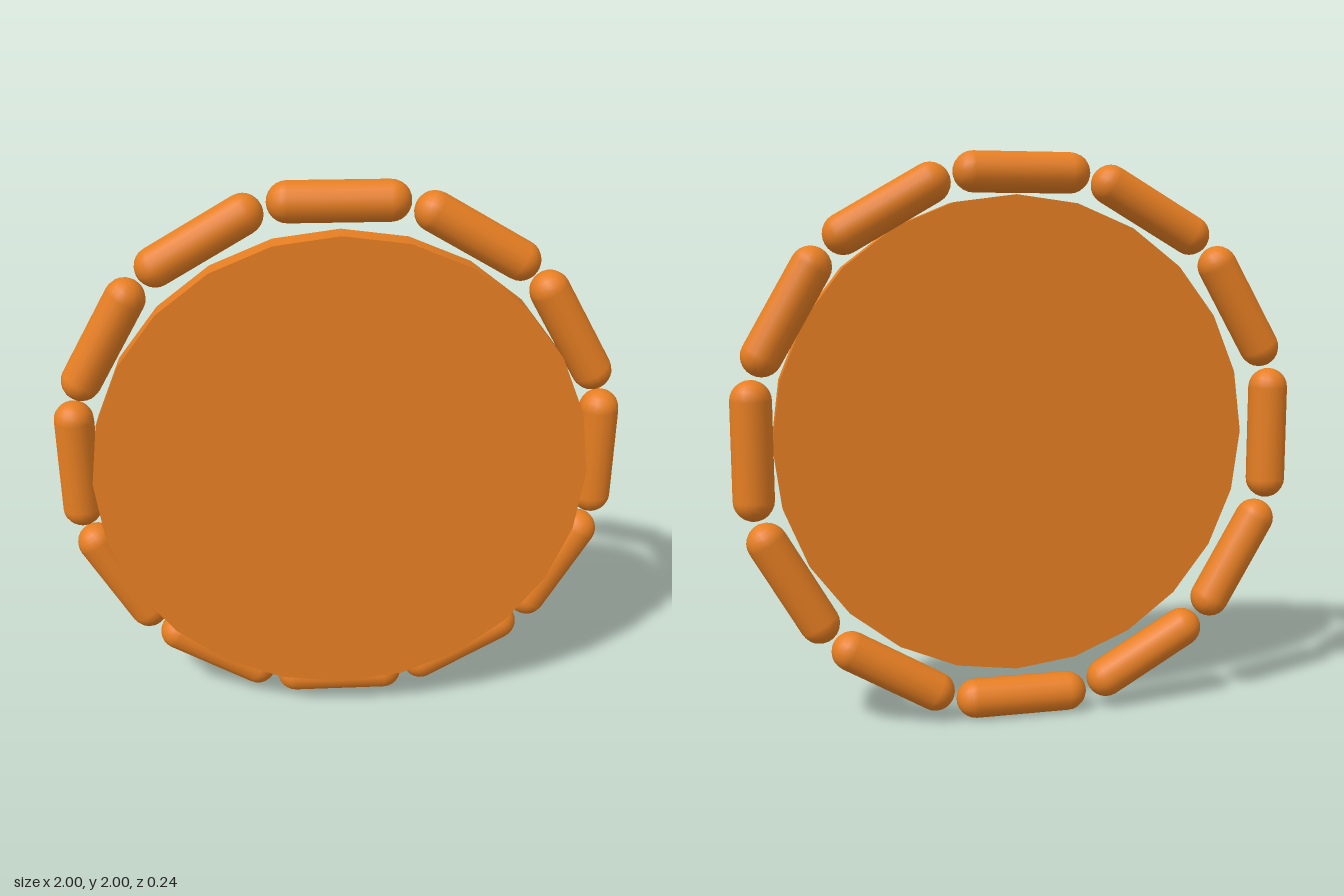
import * as THREE from 'three';

export function createModel() {
  const model = new THREE.Group();
  const material = new THREE.MeshStandardMaterial({ color: 0xe67e22 });

  // Flat round plate at the front, 24 sided
  const plateGeometry = new THREE.CylinderGeometry(0.86, 0.86, 0.09, 24);
  plateGeometry.rotateX(Math.PI / 2);
  const plate = new THREE.Mesh(plateGeometry, material);
  plate.name = 'plate';
  plate.position.set(0, 1, 0.075);
  model.add(plate);

  // Ring of twelve capsules behind the plate, each lying along the tangent
  const ring = new THREE.Group();
  ring.name = 'capsuleRing';
  ring.position.set(0, 1, -0.05);
  const capsuleGeometry = new THREE.CapsuleGeometry(0.07, 0.34, 6, 16);
  const count = 12;
  for (let i = 0; i < count; i++) {
    const angle = (i / count) * Math.PI * 2;
    const capsule = new THREE.Mesh(capsuleGeometry, material);
    capsule.name = `rimCapsule${i + 1}`;
    capsule.position.set(Math.cos(angle) * 0.93, Math.sin(angle) * 0.93, 0);
    capsule.rotation.z = angle;
    ring.add(capsule);
  }
  model.add(ring);

  return model;
}
